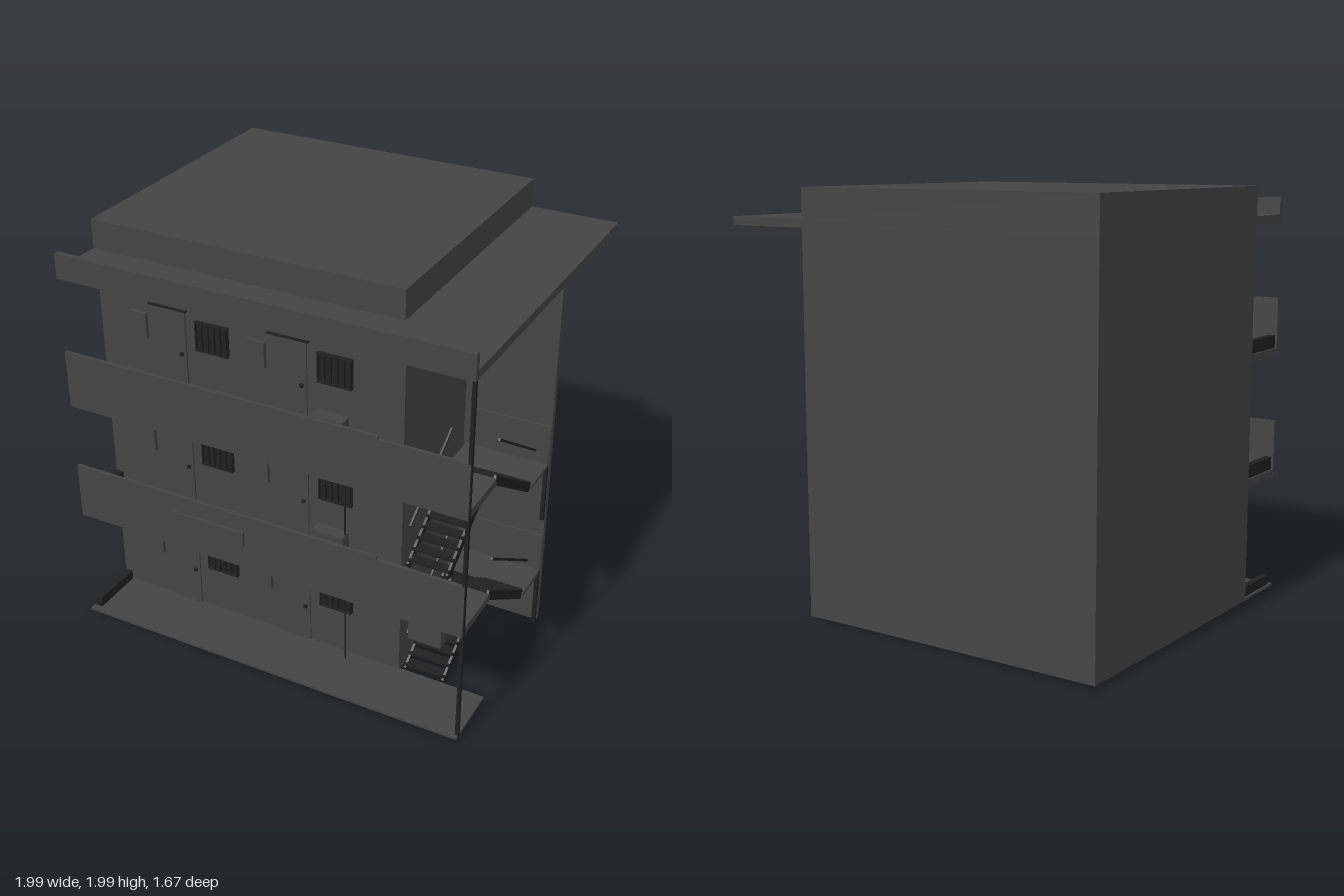
import * as THREE from 'three';

const wallGray = new THREE.MeshStandardMaterial({ color: 0x444444 });
wallGray.name = 'wallGray';
const darkMetal = new THREE.MeshStandardMaterial({ color: 0x202020 });
darkMetal.name = 'darkMetal';

// Box given by its limits on each axis
function box(parent, name, mat, x0, x1, y0, y1, z0, z1) {
  const m = new THREE.Mesh(new THREE.BoxGeometry(x1 - x0, y1 - y0, z1 - z0), mat);
  m.position.set((x0 + x1) / 2, (y0 + y1) / 2, (z0 + z1) / 2);
  m.name = name;
  parent.add(m);
  return m;
}

// Sloping bar in the y-z plane
function beam(parent, name, x, width, thick, [zA, yA], [zB, yB]) {
  const dz = zB - zA, dy = yB - yA;
  const m = new THREE.Mesh(new THREE.BoxGeometry(width, thick, Math.hypot(dz, dy)), darkMetal);
  m.position.set(x, (yA + yB) / 2, (zA + zB) / 2);
  m.rotation.x = Math.atan2(-dy, dz);
  m.name = name;
  parent.add(m);
}

// Open-riser flight: two stringers and treads
function flight(parent, x0, x1, from, to, steps) {
  const g = new THREE.Group();
  g.name = 'stairFlight';
  for (const x of [x0 + 0.006, x1 - 0.006]) beam(g, 'stringer', x, 0.012, 0.042, from, to);
  for (let i = 0; i < steps; i++) {
    const t = (i + 0.5) / steps;
    const z = from[0] + (to[0] - from[0]) * t;
    const y = from[1] + (to[1] - from[1]) * t + 0.012;
    box(g, 'tread', darkMetal, x0, x1, y - 0.005, y + 0.005, z - 0.027, z + 0.027);
  }
  parent.add(g);
}

// Door, barred window and meter box of one flat
function flatFront(parent, x, y) {
  const g = new THREE.Group();
  g.name = 'flatFront';
  g.position.set(x, y, 0.53);
  box(g, 'door', wallGray, -0.085, 0.085, 0.03, 0.45, 0, 0.008);
  box(g, 'doorCanopy', darkMetal, -0.1, 0.1, 0.448, 0.46, 0, 0.022);
  box(g, 'doorKnob', darkMetal, 0.055, 0.07, 0.222, 0.238, 0, 0.02);
  box(g, 'meterBox', wallGray, -0.21, -0.12, 0.27, 0.395, 0, 0.02);
  box(g, 'windowPane', darkMetal, 0.14, 0.31, 0.27, 0.415, 0, 0.008);
  for (let i = 0; i < 6; i++) {
    const bx = 0.143 + i * 0.0318;
    box(g, 'windowBar', darkMetal, bx, bx + 0.005, 0.27, 0.415, 0.008, 0.02);
  }
  for (const by of [0.27, 0.409]) box(g, 'windowRail', darkMetal, 0.14, 0.31, by, by + 0.006, 0.008, 0.02);
  parent.add(g);
}

// Stairs, landing and handrails of one storey
function stairStorey(parent, y) {
  const g = new THREE.Group();
  g.name = 'stairStorey';
  g.position.y = y;
  flight(g, 0.575, 0.78, [0.51, 0.024], [0.085, 0.31], 9);
  flight(g, 0.78, 0.975, [0.085, 0.315], [0.52, 0.605], 9);
  box(g, 'landing', wallGray, 0.57, 0.982, 0.308, 0.326, -0.13, 0.085);
  box(g, 'landingEdge', darkMetal, 0.575, 0.78, 0.30, 0.332, 0.083, 0.09);
  box(g, 'landingGuard', wallGray, 0.575, 0.982, 0.326, 0.525, -0.13, -0.122);
  for (const x of [0.565, 0.965]) box(g, 'landingLeg', darkMetal, x, x + 0.018, 0.02, 0.315, -0.135, -0.112);
  beam(g, 'innerHandrail', 0.58, 0.01, 0.01, [0.5, 0.23], [0.075, 0.515]);
  beam(g, 'outerHandrail', 0.984, 0.01, 0.01, [0.075, 0.512], [0.53, 0.812]);
  parent.add(g);
}

export function createModel() {
  const building = new THREE.Group();
  building.name = 'apartmentBuilding';

  // Main volume, roof and stairwell back wall
  box(building, 'mainBlock', wallGray, -1, 0.555, 0.02, 1.83, -0.84, 0.53);
  box(building, 'roofBlock', wallGray, -1, 0.555, 1.85, 2, -0.84, 0.545);
  box(building, 'roofSlab', wallGray, -1, 0.985, 1.82, 1.86, -0.839, 0.815);
  box(building, 'roofParapet', wallGray, -1, 0.985, 1.82, 1.94, 0.79, 0.817);
  box(building, 'stairwellBackWall', wallGray, 0.55, 0.985, 0.02, 1.822, -0.16, -0.13);
  box(building, 'groundSlab', wallGray, -1, 0.985, 0.02, 0.032, 0.525, 0.832);

  // Upper walkways with parapets and outdoor units
  for (const y of [0.6, 1.2]) {
    box(building, 'walkwaySlab', wallGray, -1, 0.982, y - 0.018, y + 0.018, 0.525, 0.8);
    box(building, 'walkwayParapet', wallGray, -1, 0.57, y - 0.02, y + 0.26, 0.8, 0.817);
    box(building, 'stairParapet', wallGray, 0.57, 0.982, y - 0.02, y + 0.247, 0.8, 0.817);
    box(building, 'outdoorUnit', wallGray, 0.14, 0.3, y + 0.018, y + 0.14, 0.55, 0.61);
  }
  box(building, 'signPlate', wallGray, -0.46, -0.09, 0.695, 0.775, 0.817, 0.83);

  // Details repeated on each storey
  for (let s = 0; s < 3; s++) {
    const y = s * 0.6;
    flatFront(building, -0.62, y);
    flatFront(building, 0, y);
    box(building, 'endCurb', darkMetal, -0.99, -0.957, y + 0.018, y + 0.08, 0.535, 0.8);
    if (s < 2) stairStorey(building, y);
  }

  // Corner post, drain pipe and mailbox
  box(building, 'cornerPost', darkMetal, 0.97, 0.986, 0.03, 1.82, 0.798, 0.815);
  const pipe = new THREE.Mesh(new THREE.CylinderGeometry(0.004, 0.004, 1.16, 8), darkMetal);
  pipe.position.set(0.295, 0.61, 0.578);
  pipe.name = 'drainPipe';
  building.add(pipe);
  box(building, 'mailbox', wallGray, 0.595, 0.76, 0.225, 0.35, 0.47, 0.525);

  return building;
}
